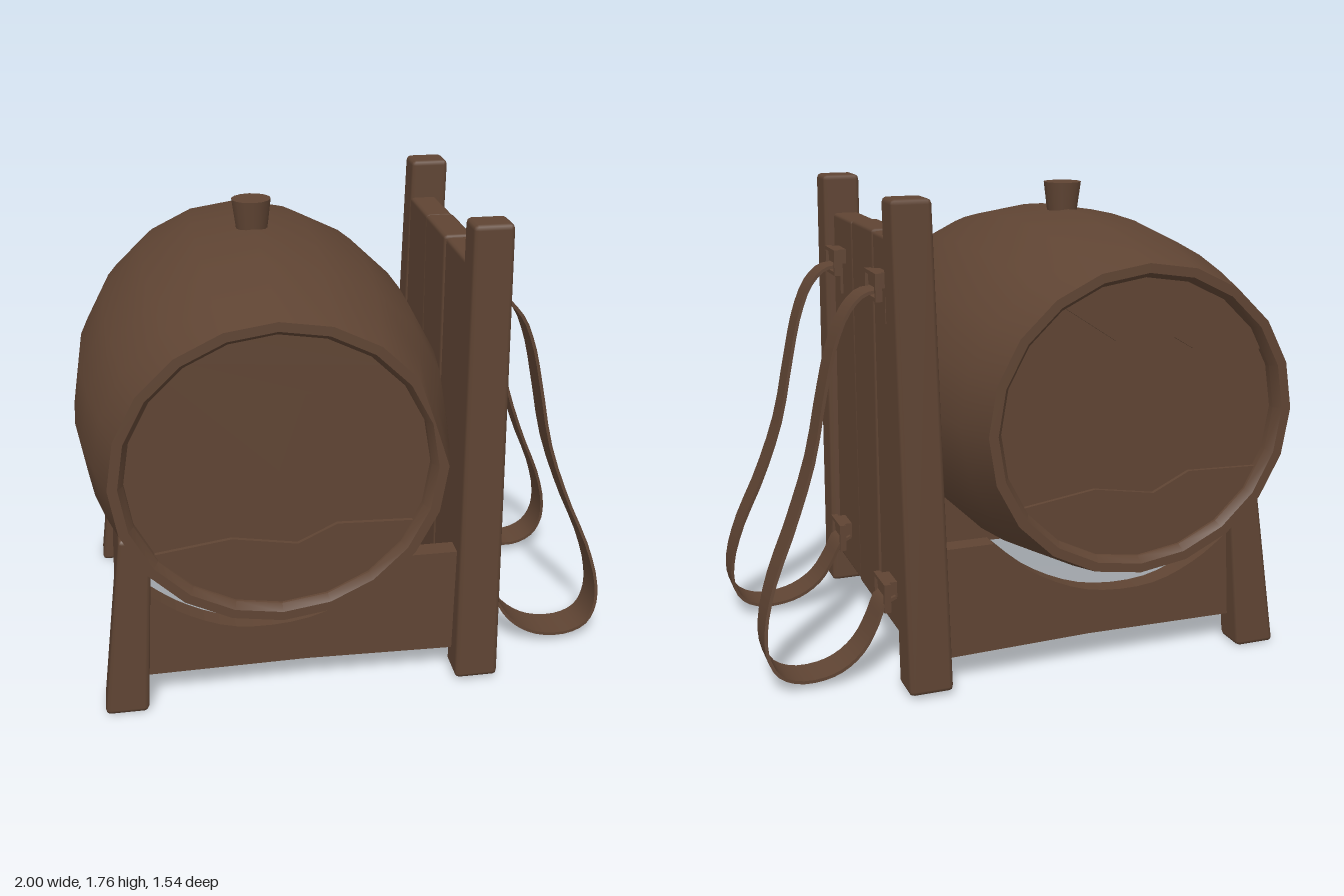
import * as THREE from 'three';
import { toCreasedNormals } from 'three/addons/utils/BufferGeometryUtils.js';
import { RoundedBoxGeometry } from 'three/addons/geometries/RoundedBoxGeometry.js';

const wood = new THREE.MeshStandardMaterial({ color: 0x5f4433 });
wood.name = 'brown wood';

const CX = -0.31, CY = 0.985, SQUASH = 0.96; // barrel axis and slight flattening

function add(parent, name, geometry) {
  const mesh = new THREE.Mesh(geometry, wood);
  mesh.name = name;
  parent.add(mesh);
  return mesh;
}

// Bevelled timber between two heights; each end is [x0, x1, z0, z1]
function beam(y0, y1, low, high, bevel = 0.018) {
  const w = low[1] - low[0], d = low[3] - low[2], h = y1 - y0;
  const g = new RoundedBoxGeometry(w, h, d, 1, bevel);
  const p = g.attributes.position;
  const { lerp } = THREE.MathUtils;
  for (let i = 0; i < p.count; i++) {
    const t = p.getY(i) / h + 0.5, u = p.getX(i) / w + 0.5, v = p.getZ(i) / d + 0.5;
    p.setXYZ(i,
      lerp(lerp(low[0], low[1], u), lerp(high[0], high[1], u), t),
      y0 + t * h,
      lerp(lerp(low[2], low[3], v), lerp(high[2], high[3], v), t));
  }
  return g;
}

const block = (x0, x1, y0, y1, z0, z1) =>
  new THREE.BoxGeometry(x1 - x0, y1 - y0, z1 - z0)
    .translate((x0 + x1) / 2, (y0 + y1) / 2, (z0 + z1) / 2);

// Mirrors a [x0, x1, z0, z1] end to side s
const side = (e, s) => s > 0 ? e : [e[0], e[1], -e[3], -e[2]];

function barrelShell() {
  const half = [[0.69, 0.2], [0.665, 0.4], [0.625, 0.6], [0.583, 0.77], [0.548, 0.77], [0.528, 0.74], [0.528, 0.68]];
  const profile = [
    ...half.slice().reverse().map(([r, z]) => new THREE.Vector2(r, -z)),
    new THREE.Vector2(0.695, 0),
    ...half.map(([r, z]) => new THREE.Vector2(r, z)),
  ];
  const g = new THREE.LatheGeometry(profile, 20).rotateX(Math.PI / 2);
  // Knocked-in stave beside the front rim
  const p = g.attributes.position;
  for (let i = 0; i < p.count; i++) {
    const a = Math.atan2(p.getY(i), p.getX(i)), r = Math.hypot(p.getX(i), p.getY(i));
    if (Math.abs(a - Math.PI / 10) < 0.05 && p.getZ(i) > 0.55 && r > 0.57) {
      p.setX(i, p.getX(i) * 0.955);
      p.setY(i, p.getY(i) * 0.955);
    }
  }
  return toCreasedNormals(g.scale(1, SQUASH, 1), 0.6);
}

// Head board bounded by the rim and a wavy split
function headBoard(split, upper) {
  const R = 0.53, a0 = Math.atan2(split.at(-1)[1], split.at(-1)[0]);
  let a1 = Math.atan2(split[0][1], split[0][0]);
  if (!upper) a1 -= a1 > 0 ? Math.PI * 2 : 0;
  const pts = split.map(([x, y]) => new THREE.Vector2(x, y));
  for (let i = 0; i <= 14; i++) {
    const a = a0 + (a1 - a0) * i / 14;
    pts.push(new THREE.Vector2(Math.cos(a) * R, Math.sin(a) * R));
  }
  return new THREE.ExtrudeGeometry(new THREE.Shape(pts), { depth: 0.03, bevelEnabled: false })
    .scale(1, SQUASH, 1);
}

function makeBarrel() {
  const barrel = new THREE.Group();
  barrel.name = 'barrel';
  barrel.position.set(CX, CY, 0);
  add(barrel, 'barrelStaves', barrelShell());
  for (const turn of [0, Math.PI]) {
    const head = new THREE.Group();
    head.name = turn ? 'backHead' : 'frontHead';
    head.rotation.y = turn;
    const middle = add(head, 'headMiddleBoard', new THREE.CircleGeometry(0.53, 40).scale(1, SQUASH, 1));
    middle.position.z = 0.715;
    const top = headBoard([[-0.3, 0.437], [-0.1, 0.3], [0.12, 0.3], [0.2, 0.25], [0.47, 0.23]], true);
    const low = headBoard([[-0.44, -0.29], [-0.17, -0.25], [0.06, -0.29], [0.2, -0.22], [0.48, -0.23]], false);
    add(head, 'headUpperBoard', top).position.z = 0.7;
    add(head, 'headLowerBoard', low).position.z = 0.7;
    barrel.add(head);
  }
  const plug = add(barrel, 'plug', new THREE.CylinderGeometry(0.073, 0.056, 0.13, 14));
  plug.position.y = 1.687 - CY;
  return barrel;
}

// Flat band swept along a curve, its width lying along z
function strap(s) {
  const path = [
    [0.52, 1.43, 0.3], [0.58, 1.42, 0.3], [0.64, 1.36, 0.3], [0.69, 1.24, 0.295], [0.73, 1.07, 0.29],
    [0.78, 0.83, 0.292], [0.86, 0.6, 0.305], [0.945, 0.4, 0.33], [0.985, 0.25, 0.35], [0.985, 0.15, 0.362],
    [0.95, 0.075, 0.37], [0.88, 0.038, 0.37], [0.78, 0.038, 0.37], [0.7, 0.065, 0.365],
    [0.63, 0.12, 0.355], [0.58, 0.2, 0.345], [0.54, 0.28, 0.335], [0.5, 0.3, 0.335],
  ].map(([x, y, z]) => new THREE.Vector3(x, y, z * s));
  const curve = new THREE.CatmullRomCurve3(path);
  const N = 44, T = 0.006, pos = [], idx = [];
  for (let i = 0; i <= N; i++) {
    const c = curve.getPoint(i / N), t = curve.getTangent(i / N);
    const l = Math.hypot(t.x, t.y), nx = -t.y / l * T, ny = t.x / l * T;
    const W = 0.055 + 0.014 * Math.min(1, i / 26);
    for (const [a, b] of [[1, 1], [-1, 1], [-1, -1], [1, -1]])
      pos.push(c.x + a * nx, c.y + a * ny, c.z + b * W);
    if (i < N) for (let k = 0; k < 4; k++) {
      const a = i * 4 + k, b = i * 4 + (k + 1) % 4;
      idx.push(a, b, b + 4, a, b + 4, a + 4);
    }
  }
  const g = new THREE.BufferGeometry();
  g.setAttribute('position', new THREE.Float32BufferAttribute(pos, 3));
  g.setIndex(idx);
  return toCreasedNormals(g, 0.7);
}

// Rectangular ring with a leather tab behind it
function buckle(name, y, z, w, h) {
  const g = new THREE.Group();
  g.name = name;
  g.position.set(0.535, y, z);
  const b = 0.014;
  for (const k of [-1, 1]) {
    add(g, 'buckleBar', new THREE.BoxGeometry(0.025, b, w)).position.y = k * (h - b) / 2;
    add(g, 'buckleSide', new THREE.BoxGeometry(0.025, h, b)).position.z = k * (w - b) / 2;
  }
  add(g, 'buckleTab', new THREE.BoxGeometry(0.045, h * 0.55, w * 0.72)).position.set(-0.02, h * 0.22, 0);
  return g;
}

// Side rail with a cradle cut for the barrel
function rail() {
  const s = new THREE.Shape();
  s.moveTo(-0.84, 0.11);
  s.lineTo(-0.2, 0.118);
  s.lineTo(0.4, 0.105);
  s.lineTo(0.4, 0.525);
  s.lineTo(0.18, 0.525);
  s.splineThru([[0.02, 0.39], [-0.2, 0.295], [-0.45, 0.285], [-0.65, 0.36], [-0.81, 0.48]]
    .map(([x, y]) => new THREE.Vector2(x, y)));
  s.lineTo(-0.84, 0.48);
  return new THREE.ExtrudeGeometry(s, { depth: 0.075, bevelEnabled: false, curveSegments: 3 })
    .translate(0, 0, -0.0375);
}

export function createModel() {
  const model = new THREE.Group();
  model.name = 'backpackBarrel';
  model.add(makeBarrel());

  // Frame parts shared by both sides
  for (const s of [1, -1]) {
    const g = new THREE.Group();
    g.name = s > 0 ? 'frontSide' : 'backSide';
    add(g, 'tallPost', beam(0.015, 1.765, side([0.36, 0.525, 0.51, 0.65], s), side([0.39, 0.535, 0.415, 0.545], s)));
    add(g, 'shortLeg', beam(0, 0.7, side([-0.96, -0.8, 0.51, 0.645], s), side([-0.87, -0.755, 0.475, 0.6], s)));
    add(g, 'sideRail', rail()).position.z = 0.53 * s;
    add(g, 'outerBackBoard', beam(0.15, 1.615, side([0.385, 0.49, 0.155, 0.55], s), side([0.39, 0.495, 0.155, 0.44], s), 0.014));
    add(g, 'shoulderStrap', strap(s));
    add(g, 'strapTail', block(0.49, 0.505, 1.31, 1.44, s * 0.325 - 0.02, s * 0.325 + 0.02));
    g.add(buckle('upperBuckle', 1.445, 0.3 * s, 0.15, 0.1));
    g.add(buckle('lowerBuckle', 0.3, 0.335 * s, 0.15, 0.11));
    model.add(g);
  }

  // Middle board and cross rails
  add(model, 'middleBackBoard', beam(0.15, 1.62, [0.385, 0.495, -0.148, 0.152], [0.385, 0.495, -0.148, 0.152], 0.014));
  add(model, 'postCrossRail', block(0.375, 0.47, 0.13, 0.17, -0.54, 0.54));
  add(model, 'legCrossRail', beam(0.12, 0.37, [-0.91, -0.83, -0.54, 0.54], [-0.88, -0.8, -0.53, 0.53], 0.01));
  return model;
}
